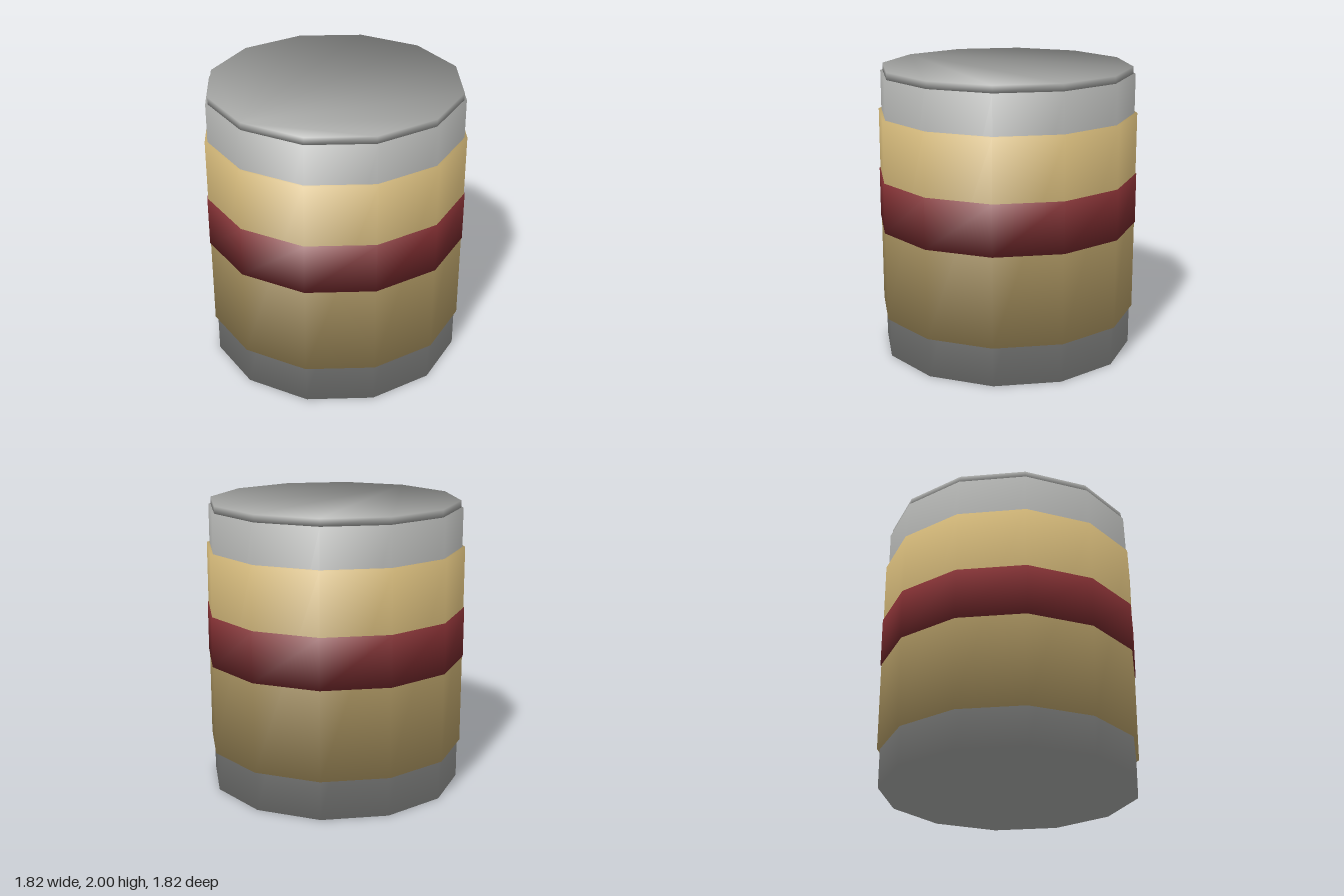
import * as THREE from 'three';

const SIDES = 12;

// Closed twelve-sided drum whose soft normals roll over the rim onto undivided end faces
function drum(radius, bottom, top) {
  const positions = [], normals = [], index = [];
  for (const [y, ny] of [[bottom, -0.653], [top, 0.653]]) {
    for (let i = 0; i < SIDES; i++) {
      const a = (i / SIDES) * Math.PI * 2;
      const x = Math.sin(a), z = Math.cos(a);
      positions.push(x * radius, y, z * radius);
      normals.push(x * 0.757, ny, z * 0.757);
    }
  }
  // Side wall
  for (let i = 0; i < SIDES; i++) {
    const j = (i + 1) % SIDES;
    index.push(i, j, j + SIDES, i, j + SIDES, i + SIDES);
  }
  // End faces
  for (let i = 1; i < SIDES - 1; i++) {
    index.push(0, i + 1, i);
    index.push(SIDES, SIDES + i, SIDES + i + 1);
  }
  const geometry = new THREE.BufferGeometry();
  geometry.setAttribute('position', new THREE.Float32BufferAttribute(positions, 3));
  geometry.setAttribute('normal', new THREE.Float32BufferAttribute(normals, 3));
  geometry.setIndex(index);
  return geometry;
}

function material(name, color) {
  const m = new THREE.MeshStandardMaterial({ color });
  m.name = name;
  return m;
}

export function createModel() {
  const group = new THREE.Group();
  group.name = 'can';
  const metal = material('grey metal', 0xa6a7a5);
  const paper = material('tan label', 0xc8ae72);
  const red = material('dark red', 0x7d2d30);

  // Name, radius, bottom, top, material
  const parts = [
    ['canBody', 0.884, 0, 1.95, metal],
    ['lid', 0.868, 1.95, 2, metal],
    ['label', 0.903, 0.275, 1.68, paper],
    ['labelBand', 0.909, 0.9, 1.25, red],
  ];
  for (const [name, radius, bottom, top, mat] of parts) {
    const mesh = new THREE.Mesh(drum(radius, bottom, top), mat);
    mesh.name = name;
    group.add(mesh);
  }
  return group;
}
